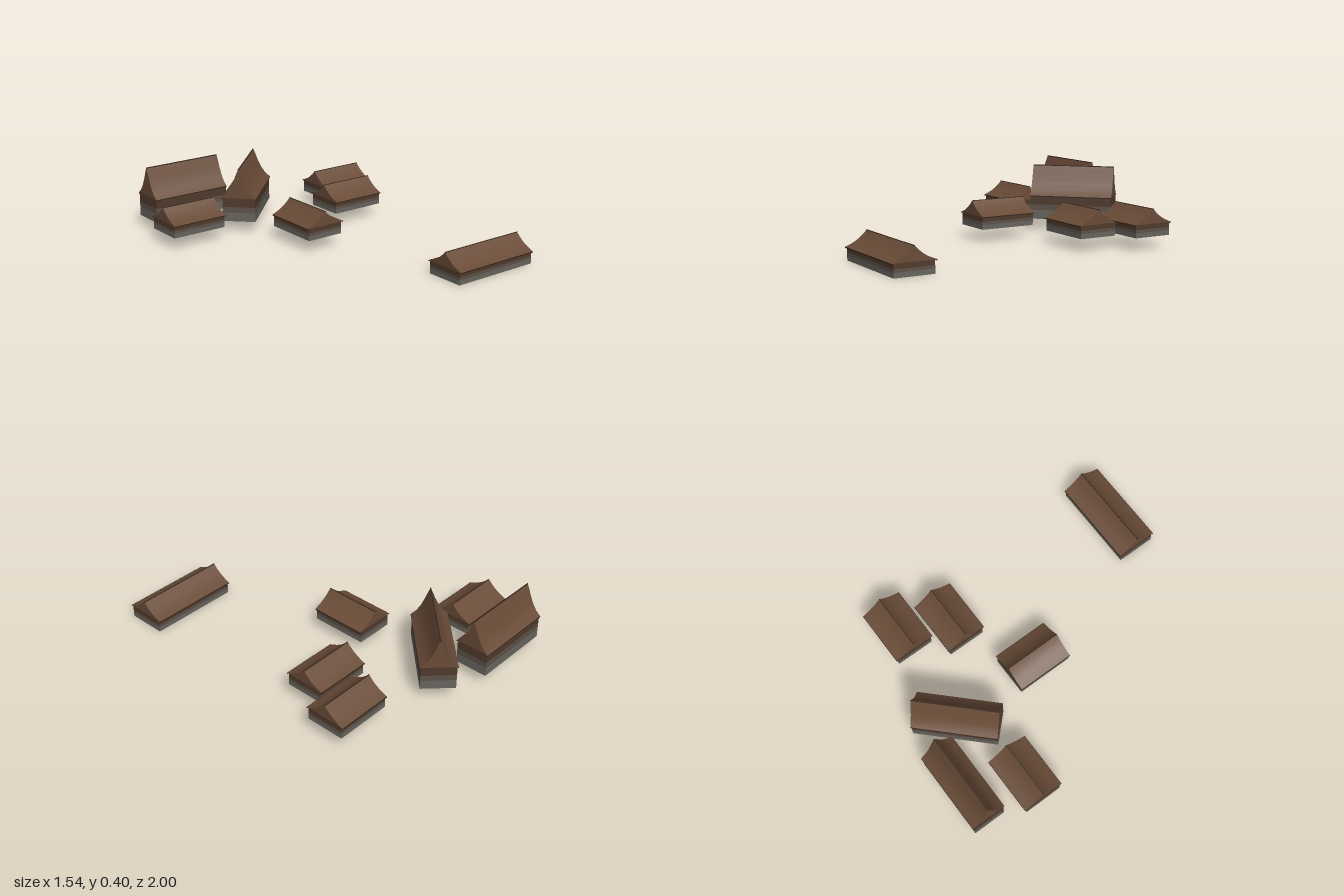
import * as THREE from 'three';

const mat = (name, color) => new THREE.MeshStandardMaterial({ name, color, side: THREE.DoubleSide });

export function createModel() {
  const roofBrown = mat('roofBrown', 0x694b37);
  const trimBrown = mat('trimBrown', 0x35261c);
  const woodBrown = mat('woodBrown', 0x503a2c);
  const midGrey = mat('midGrey', 0x5c5148);
  const stoneGrey = mat('stoneGrey', 0x67645d);

  // Roof half-profiles, ridge to eave: [outward, height above base]
  const small = {
    wall: 0.119, eave: 0.075,
    profile: [[0, 0.16], [0.02, 0.139], [0.045, 0.118], [0.075, 0.099], [0.103, 0.086], [0.131, 0.075]],
  };
  const big = {
    wall: 0.102, eave: 0.147,
    profile: [[0, 0.33], [0.014, 0.298], [0.03, 0.257], [0.05, 0.214], [0.075, 0.176], [0.109, 0.146]],
  };
  // Wall bands: [from, to] as fractions of wall height
  const bands = [
    ['wallBase', 0, 0.38, stoneGrey],
    ['wallMiddle', 0.38, 0.62, midGrey],
    ['wallTop', 0.62, 1, woodBrown],
  ];

  function house(name, { wall, eave, profile }, length) {
    const g = new THREE.Group();
    g.name = name;
    const add = (part, geo, material, x = 0, y = 0, z = 0, ry = 0) => {
      const m = new THREE.Mesh(geo, material);
      m.name = part;
      m.position.set(x, y, z);
      m.rotation.y = ry;
      g.add(m);
    };

    // Curved slopes: a plane bent along the profile
    const slope = new THREE.PlaneGeometry(length, 1, 1, profile.length - 1);
    const pos = slope.attributes.position;
    for (let i = 0; i < pos.count; i++) {
      const [out, y] = profile[Math.floor(i / 2)];
      pos.setY(i, y);
      pos.setZ(i, out);
    }
    slope.computeVertexNormals();

    // Gable outline, mirrored about the ridge
    const outline = [
      ...profile.map(([o, y]) => new THREE.Vector2(-o, y)),
      ...profile.slice(1).reverse().map(([o, y]) => new THREE.Vector2(o, y)),
    ];
    const gable = new THREE.ShapeGeometry(new THREE.Shape(outline));
    const [reach, eaveY] = profile[profile.length - 1];
    const eaveTrim = new THREE.BoxGeometry(length, 0.006, 0.004);

    for (const s of [1, -1]) {
      const turn = s > 0 ? 0 : Math.PI;
      add('roofSlope', slope, roofBrown, 0, 0, 0, turn);
      add('gable', gable, roofBrown, s * (length / 2 - 0.002), 0, 0, s * Math.PI / 2);
      add('eaveTrim', eaveTrim, trimBrown, 0, eaveY - 0.002, s * (reach - 0.002));
      // Walls, open above and below
      for (const [part, a, b, material] of bands) {
        const h = (b - a) * eave, y = (a + b) / 2 * eave;
        add(part, new THREE.PlaneGeometry(length - 0.004, h), material, 0, y, s * wall, turn);
        add(part, new THREE.PlaneGeometry(wall * 2, h), material, s * (length / 2 - 0.002), y, 0, s * Math.PI / 2);
      }
    }
    add('ridgeBeam', new THREE.BoxGeometry(length, 0.005, 0.005), trimBrown, 0, profile[0][1] - 0.002, 0);
    return g;
  }

  // Village layout: name, type, length, x, y, z, turn
  const model = new THREE.Group();
  model.name = 'village';
  const layout = [
    ['backHall', big, 0.51, -0.435, 0.065, -0.89, 0],
    ['angledHall', big, 0.51, -0.095, 0.065, -0.685, Math.PI / 4],
    ['rightHouse', small, 0.355, -0.593, 0.075, -0.567, 0],
    ['leftBackHouse', small, 0.355, 0.588, 0.075, -0.637, 0],
    ['leftFrontHouse', small, 0.355, 0.45, 0.075, -0.356, 0],
    ['middleHouse', small, 0.355, -0.052, 0.075, -0.102, Math.PI / 2],
    ['frontLonghouse', small, 0.567, 0.448, 0, 0.868, 0],
  ];
  for (const [name, type, length, x, y, z, turn] of layout) {
    const h = house(name, type, length);
    h.position.set(x, y, z);
    h.rotation.y = turn;
    model.add(h);
  }
  return model;
}
